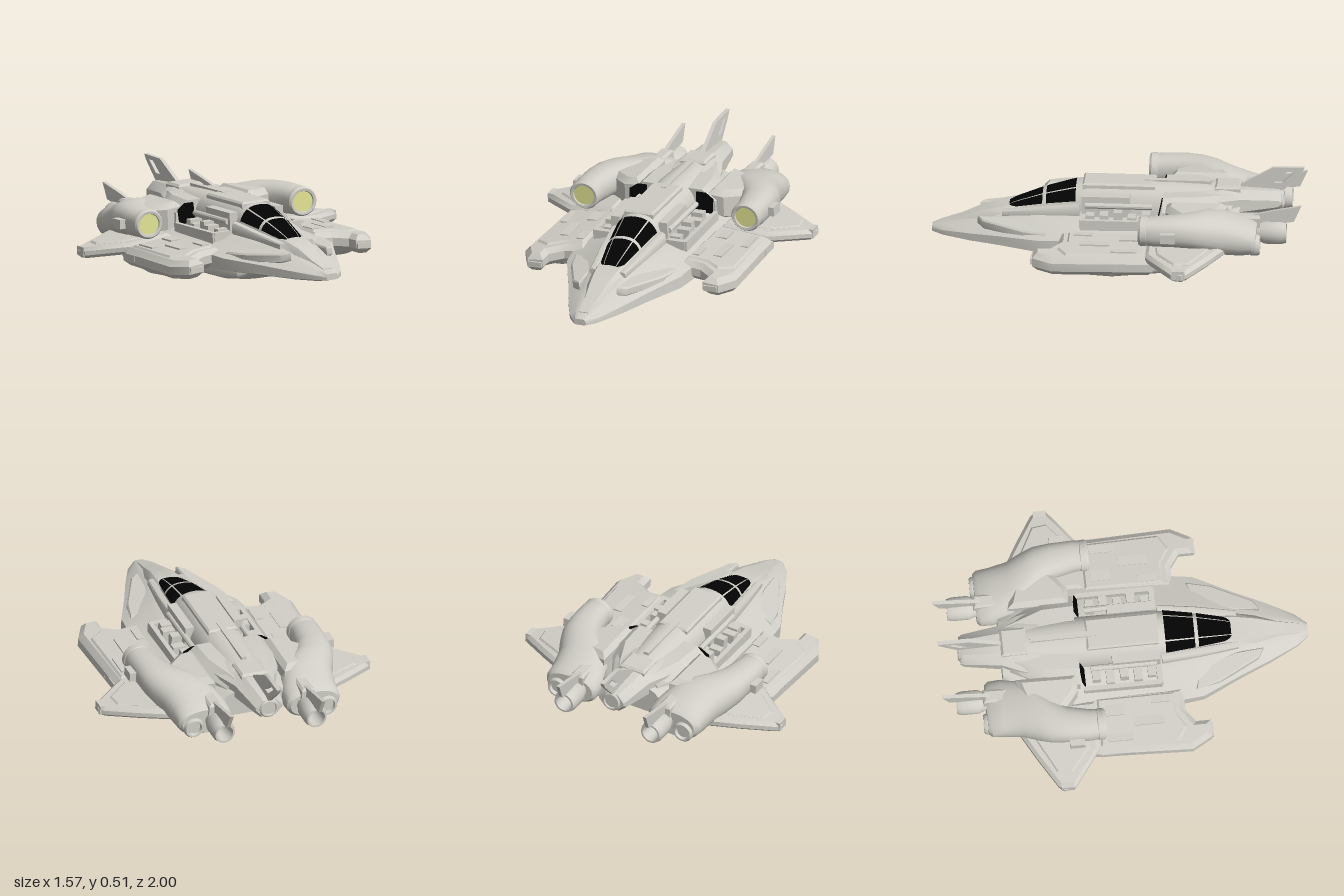
import * as THREE from 'three';
import { toCreasedNormals } from 'three/addons/utils/BufferGeometryUtils.js';

const paint = (name, color) => Object.assign(new THREE.MeshStandardMaterial({ color }), { name });

// Skin over rings ordered front to back; each ring runs anticlockwise seen from the front
function loft(rings) {
  const n = rings[0].length, pos = rings.flat(2), idx = [];
  for (let r = 0; r < rings.length - 1; r++) for (let i = 0; i < n; i++) {
    const a = r * n + i, b = r * n + (i + 1) % n;
    idx.push(a, a + n, b, b, a + n, b + n);
  }
  const last = (rings.length - 1) * n;
  for (let i = 1; i < n - 1; i++) idx.push(0, i, i + 1, last, last + i + 1, last + i);
  const g = new THREE.BufferGeometry();
  g.setAttribute('position', new THREE.Float32BufferAttribute(pos, 3));
  g.setIndex(idx);
  return g;
}

// Symmetric ring from right-half points, bottom to top
const halfRing = (z, pts) => [
  ...pts.map(([x, y]) => [x, y, z]),
  ...pts.slice().reverse().map(([x, y]) => [-x, y, z]),
];

// Rounded ring; e = 1 is an ellipse, smaller is boxier
function oval([z, cx, cy, w, h], e = 1, n = 28) {
  const pw = (v) => Math.sign(v) * Math.abs(v) ** e;
  return Array.from({ length: n }, (_, i) => {
    const t = (i / n) * Math.PI * 2;
    return [cx + w * pw(Math.cos(t)), cy + h * pw(Math.sin(t)), z];
  });
}

// Flat slab from an [x, z] outline between two heights, edges bevelled inwards
function slab(pts, y0, y1, b = 0.012, droop = 0) {
  const shape = new THREE.Shape(pts.map(([x, z]) => new THREE.Vector2(x, -z)));
  const g = new THREE.ExtrudeGeometry(shape, {
    depth: y1 - y0 - 2 * b, bevelSize: b, bevelThickness: b, bevelOffset: -b, bevelSegments: 1,
  });
  g.rotateX(-Math.PI / 2).translate(0, y0 + b, 0);
  const p = g.attributes.position;
  for (let i = 0; i < p.count; i++) p.setY(i, p.getY(i) - droop * (p.getX(i) - 0.4));
  return g;
}

// Upright fin from a [z, y] outline
function finGeo(pts, thick, x, hole) {
  const v = (a) => a.map(([z, y]) => new THREE.Vector2(z, y));
  const shape = new THREE.Shape(v(pts));
  if (hole) shape.holes.push(new THREE.Path(v(hole)));
  const g = new THREE.ExtrudeGeometry(shape, { depth: thick, bevelEnabled: false });
  return g.rotateY(-Math.PI / 2).translate(x + thick / 2, 0, 0);
}

const box = (x, y, z, w, h, d) => new THREE.BoxGeometry(w, h, d).translate(x, y, z);

function nozzleGeo(x, y, z, s, len) {
  const prof = [[0.8, 0], [0.85, 0.25], [1, 0.35], [1, 0.85], [0.88, 1], [0.72, 1], [0.6, 0.4], [0, 0.4]];
  return new THREE.LatheGeometry(prof.map(([r, h]) => new THREE.Vector2(r * s, h * len)), 24)
    .rotateX(-Math.PI / 2).translate(x, y, z);
}

// Cabin dome: half width and height along z
const DOME = [[0.6, 0.055, 0.02], [0.55, 0.07, 0.05], [0.4, 0.1, 0.11], [0.24, 0.125, 0.157],
  [0.16, 0.138, 0.174], [-0.3, 0.138, 0.174], [-0.55, 0.12, 0.165]];
function domePoint(z, t, off = 0) {
  let i = 0;
  while (i < DOME.length - 2 && z < DOME[i + 1][0]) i++;
  const [a, b] = [DOME[i], DOME[i + 1]], k = (z - a[0]) / (b[0] - a[0]);
  const w = a[1] + (b[1] - a[1]) * k, h = a[2] + (b[2] - a[2]) * k;
  const c = Math.cos(t);
  return [(w + off) * Math.sign(c) * Math.abs(c) ** 0.8, 0.237 + (h + off) * Math.sin(t) ** 0.8, z];
}
function domePatch(z0, z1, d0, d1) {
  const nz = 6, nt = 6, pos = [], idx = [], rad = Math.PI / 180;
  for (let r = 0; r <= nz; r++) for (let i = 0; i <= nt; i++)
    pos.push(...domePoint(z0 + ((z1 - z0) * r) / nz, (d0 + ((d1 - d0) * i) / nt) * rad, 0.005));
  for (let r = 0; r < nz; r++) for (let i = 0; i < nt; i++) {
    const a = r * (nt + 1) + i, b = a + nt + 1;
    idx.push(a, b, a + 1, a + 1, b, b + 1);
  }
  const g = new THREE.BufferGeometry();
  g.setAttribute('position', new THREE.Float32BufferAttribute(pos, 3));
  g.setIndex(idx);
  return g;
}

export function createModel() {
  const hull = paint('hullGrey', 0xd0cec6);
  const glass = paint('blackGlass', 0x030303);
  const glow = paint('intakeYellow', 0xe6e696);
  const ship = new THREE.Group();
  ship.name = 'spacecraft';

  const add = (name, geo, mat = hull) => {
    const mesh = new THREE.Mesh(toCreasedNormals(geo, 0.6), mat);
    mesh.name = name;
    ship.add(mesh);
    return mesh;
  };
  // Adds a part on +x and its mirror image on -x
  const both = (name, geo, mat = hull) => {
    const g = add(name + 'Left', geo, mat).geometry.clone().scale(-1, 1, 1);
    for (const at of [g.attributes.position, g.attributes.normal])
      for (let i = 0; i < at.count; i += 3) {
        const v = [at.getX(i), at.getY(i), at.getZ(i)];
        at.setXYZ(i, at.getX(i + 1), at.getY(i + 1), at.getZ(i + 1));
        at.setXYZ(i + 1, ...v);
      }
    const m = new THREE.Mesh(g, mat);
    m.name = name + 'Right';
    ship.add(m);
  };

  // Main hull: z, bottom, edge half width, edge low, edge high, shoulder x y, ridge x y
  add('mainHull', loft([
    [1, 0.098, 0.035, 0.102, 0.115, 0.028, 0.128, 0.02, 0.132],
    [0.94, 0.09, 0.085, 0.1, 0.125, 0.05, 0.148, 0.03, 0.152],
    [0.79, 0.085, 0.16, 0.1, 0.14, 0.085, 0.18, 0.045, 0.19],
    [0.63, 0.085, 0.23, 0.105, 0.155, 0.12, 0.215, 0.06, 0.24],
    [0.41, 0.085, 0.335, 0.11, 0.175, 0.17, 0.235, 0.12, 0.255],
    [0.2, 0.085, 0.36, 0.11, 0.19, 0.2, 0.24, 0.15, 0.26],
    [-0.2, 0.09, 0.36, 0.115, 0.2, 0.23, 0.24, 0.15, 0.26],
    [-0.5, 0.12, 0.33, 0.15, 0.22, 0.24, 0.28, 0.15, 0.32],
    [-0.66, 0.17, 0.19, 0.2, 0.25, 0.15, 0.3, 0.1, 0.32],
  ].map(([z, b, w, lo, hi, sx, sy, tx, ty]) =>
    halfRing(z, [[w * 0.25, b], [w * 0.7, b], [w, lo], [w, hi], [sx, sy], [tx, ty], [tx * 0.4, ty]]))));
  add('noseRidge', loft([[0.95, 0.035, 0.153], [0.84, 0.048, 0.187], [0.72, 0.068, 0.238], [0.6, 0.085, 0.266], [0.5, 0.095, 0.268]]
    .map(([z, w, t]) => halfRing(z, [[w * 1.25, 0.13], [w * 1.15, t - 0.035], [w * 0.75, t], [w * 0.3, t]]))));
  both('canopySill', loft([[0.62, 0.085, 0.235, 0.02, 0.02], [0.4, 0.115, 0.255, 0.025, 0.035], [0.2, 0.135, 0.275, 0.025, 0.045]]
    .map((s) => oval(s, 0.6, 12))));
  both('noseGun', box(0.025, 0.115, 0.96, 0.02, 0.02, 0.07));
  both('nosePanel', slab([[0.11, 0.75], [0.16, 0.72], [0.27, 0.5], [0.3, 0.37], [0.18, 0.4], [0.12, 0.6]], 0.14, 0.19, 0.008, 0.12));

  // Cabin and canopy
  const arc = (z) => Array.from({ length: 17 }, (_, i) => domePoint(z, (i / 16) * Math.PI));
  add('cabin', loft(DOME.map(([z]) => arc(z))));
  for (const [z0, z1] of [[0.585, 0.405], [0.385, 0.225]])
    for (const [d0, d1] of [[27, 60], [64, 116], [120, 153]]) add('canopyPane', domePatch(z0, z1, d0, d1), glass);
  both('cabinRib', box(0.14, 0.31, 0.06, 0.05, 0.12, 0.26));
  add('cabinBand', slab([[-0.085, 0.19], [0.085, 0.19], [0.085, -0.2], [-0.085, -0.2]], 0.36, 0.416, 0.01));

  // Side channels with machinery
  both('channelRail', box(0.262, 0.245, -0.02, 0.025, 0.06, 0.42));
  both('channelEnd', box(0.2, 0.25, 0.18, 0.13, 0.05, 0.03));
  for (let i = 0; i < 5; i++)
    both('machinery', box(0.19 + 0.02 * (i % 2), 0.265, 0.14 - i * 0.075, 0.07, 0.04 + 0.02 * (i % 3), 0.045));
  both('channelPipe', new THREE.CylinderGeometry(0.016, 0.016, 0.36, 10).rotateX(Math.PI / 2).translate(0.165, 0.32, -0.01));

  // Rear spine with dark, tilted forward openings
  add('rearSpine', loft([[-0.25, 0.25, 0.38], [-0.42, 0.24, 0.385], [-0.56, 0.17, 0.38], [-0.62, 0.14, 0.375]].map(([z, w, t]) =>
    halfRing(z, [[w * 0.6, 0.22], [w, 0.24], [w, t - 0.06], [w * 0.7, t], [w * 0.3, t]]))));
  both('spineOpening', slab([[0.145, 0], [0.245, 0], [0.245, -0.08], [0.2, -0.11], [0.145, -0.11]], 0, 0.006, 0.001)
    .rotateX(Math.PI / 2 - 0.2).translate(0, 0.26, -0.226), glass);
  add('spineStrip', box(0, 0.41, -0.32, 0.03, 0.02, 0.36));
  add('spineBox', slab([[-0.075, -0.52], [0.075, -0.52], [0.075, -0.66], [-0.075, -0.66]], 0.35, 0.412));
  add('tailBoom', loft([[-0.45, 0.18, 0.22, 0.385], [-0.56, 0.155, 0.23, 0.395], [-0.66, 0.112, 0.245, 0.395], [-0.86, 0.085, 0.268, 0.385], [-0.88, 0.075, 0.28, 0.375]]
    .map(([z, w, b, t]) => halfRing(z, [[w * 0.5, b], [w, b + 0.04], [w, t - 0.04], [w * 0.5, t]]))));
  add('tailNozzle', nozzleGeo(0, 0.325, -0.84, 0.055, 0.05));
  add('tailFin', finGeo([[-0.6, 0.37], [-0.83, 0.505], [-1, 0.51], [-0.985, 0.48], [-0.87, 0.36]], 0.022, 0,
    [[-0.835, 0.42], [-0.91, 0.485], [-0.95, 0.485], [-0.88, 0.42]]));

  // Engine nacelles curving inward to the rear
  both('nacelle', loft([
    [-0.16, 0.475, 0.303, 0.078, 0.072], [-0.22, 0.475, 0.303, 0.084, 0.078], [-0.34, 0.46, 0.303, 0.095, 0.084],
    [-0.43, 0.425, 0.295, 0.122, 0.092], [-0.5, 0.375, 0.28, 0.148, 0.104], [-0.58, 0.335, 0.255, 0.152, 0.11],
    [-0.68, 0.315, 0.235, 0.156, 0.1], [-0.745, 0.313, 0.23, 0.152, 0.085], [-0.765, 0.312, 0.23, 0.135, 0.07],
  ].map((s) => oval(s, 0.85))));
  both('intakeRim', new THREE.LatheGeometry([[0.074, 0], [0.085, 0.01], [0.085, 0.04], [0.076, 0.052], [0.062, 0.05], [0.056, 0.03], [0, 0.03]]
    .map(([r, h]) => new THREE.Vector2(r, h)), 32).rotateX(Math.PI / 2).scale(1, 0.94, 1).translate(0.475, 0.303, -0.19));
  both('intakeGlow', new THREE.CircleGeometry(0.059, 32).scale(1, 0.94, 1).translate(0.475, 0.303, -0.148), glow);
  both('nacelleSideBox', box(0.57, 0.3, -0.3, 0.04, 0.05, 0.08));
  both('pylon', slab([[0.2, -0.27], [0.29, -0.27], [0.4, -0.36], [0.38, -0.55], [0.2, -0.6]], 0.19, 0.36, 0.03, 0.1));
  both('innerNozzle', nozzleGeo(0.265, 0.235, -0.74, 0.064, 0.18));
  both('outerNozzle', nozzleGeo(0.385, 0.205, -0.71, 0.057, 0.075));
  both('sideFin', finGeo([[-0.58, 0.29], [-0.72, 0.33], [-0.85, 0.36], [-1, 0.39], [-0.96, 0.3], [-0.8, 0.28]], 0.02, 0.265));
  both('sideFinRoot', slab([[0.235, -0.58], [0.3, -0.58], [0.305, -0.78], [0.23, -0.78]], 0.24, 0.335));

  // Forward sponsons
  both('sponson', slab([[0.28, 0.3], [0.4, 0.3], [0.47, 0.35], [0.47, 0.43], [0.56, 0.43], [0.62, 0.32], [0.6, -0.22], [0.28, -0.25]],
    0.105, 0.205, 0.028, 0.1));
  both('sponsonPanel', slab([[0.31, 0.25], [0.42, 0.25], [0.5, 0.3], [0.58, 0.25], [0.57, -0.17], [0.31, -0.17]], 0.17, 0.215, 0.01, 0.1));
  for (const [x, z, w, d] of [[0.34, 0.17, 0.04, 0.1], [0.45, 0.1, 0.05, 0.16], [0.53, -0.06, 0.04, 0.14], [0.38, -0.08, 0.06, 0.1]])
    both('deckPlate', box(x, 0.213 - 0.1 * (x - 0.4), z, w, 0.016, d));
  for (const z of [0.2, 0, -0.13]) both('edgeBlock', box(0.59, 0.14, z, 0.035, 0.035, 0.08));
  both('forkTip', box(0.515, 0.14, 0.415, 0.08, 0.03, 0.05));
  both('underPod', loft([[0.3, 0.48, 0.12, 0.05, 0.02], [0.24, 0.48, 0.112, 0.09, 0.045], [0, 0.49, 0.11, 0.1, 0.05],
    [-0.3, 0.46, 0.13, 0.1, 0.05], [-0.5, 0.4, 0.17, 0.08, 0.04]].map((s) => oval(s, 0.8))));

  // Rear wings
  both('rearWing', slab([[0.32, -0.18], [0.58, -0.18], [0.775, -0.33], [0.785, -0.39], [0.76, -0.42], [0.6, -0.52], [0.46, -0.6], [0.32, -0.6]],
    0.165, 0.225, 0.018, 0.1));
  both('wingPanel', slab([[0.5, -0.23], [0.58, -0.24], [0.7, -0.34], [0.69, -0.42], [0.5, -0.52]], 0.19, 0.234, 0.008, 0.1));
  both('wingTip', box(0.765, 0.165, -0.37, 0.03, 0.05, 0.07));

  // Belly pod
  add('bellyPod', loft([[0.375, 0, 0.08, 0.17, 0.025], [0.34, 0, 0.068, 0.22, 0.042], [0.22, 0, 0.063, 0.26, 0.048], [-0.18, 0, 0.063, 0.265, 0.05],
    [-0.3, 0, 0.075, 0.245, 0.045], [-0.36, 0, 0.088, 0.19, 0.033]].map((s) => oval(s, 0.6, 32))));
  add('bellyKeel', box(0, 0.012, 0.02, 0.06, 0.02, 0.4));

  // Slight bank of the whole craft
  ship.rotation.z = 0.053;
  ship.position.x = 0.01;
  const model = new THREE.Group();
  model.name = 'model';
  model.add(ship);
  return model;
}
